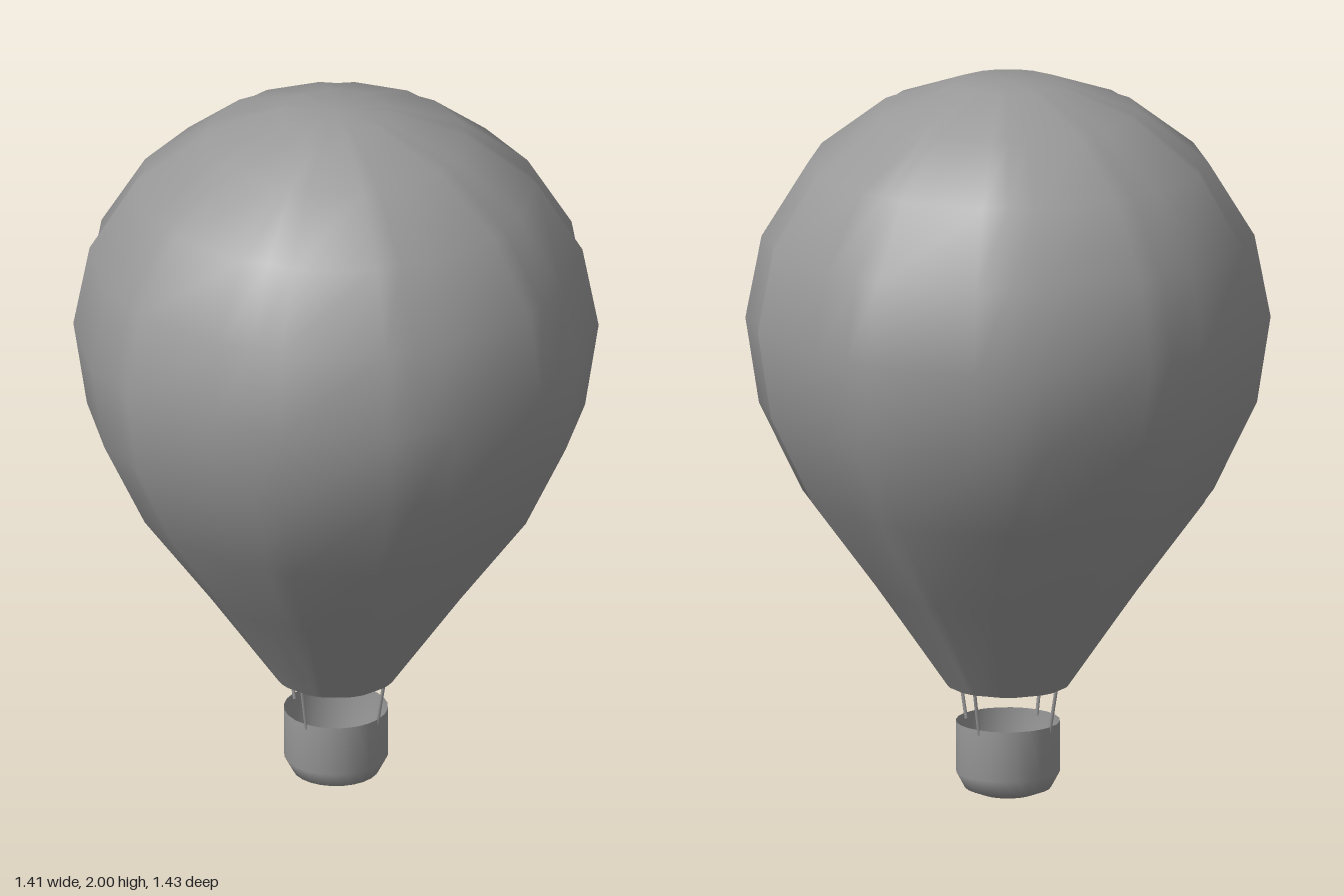
import * as THREE from 'three';

const GORES = 9;
const SEAM = THREE.MathUtils.degToRad(7.7); // half width of each seam valley

// Envelope rings from mouth to crown: [height, radius, seam depth]
const RINGS = [
  [0.308, 0.166, 0.000],
  [0.595, 0.367, 0.010],
  [0.857, 0.560, 0.018],
  [1.103, 0.678, 0.023],
  [1.342, 0.715, 0.025],
  [1.570, 0.671, 0.024],
  [1.772, 0.546, 0.018],
  [1.916, 0.358, 0.010],
  [1.993, 0.146, 0.002],
];

// Smooth skin of gores: each has a valley and two crests
function envelopeGeometry() {
  const pos = [], index = [], n = GORES * 3;
  for (const [y, r, depth] of RINGS) {
    for (let j = 0; j < n; j++) {
      const side = (j % 3) - 1;
      const a = Math.floor(j / 3) * Math.PI * 2 / GORES + side * SEAM;
      const rad = side === 0 ? r - depth : r;
      pos.push(Math.cos(a) * rad, y, Math.sin(a) * rad);
    }
  }
  for (let i = 0; i < RINGS.length - 1; i++) {
    for (let j = 0; j < n; j++) {
      const k = (j + 1) % n;
      const a = i * n + j, b = i * n + k;
      index.push(a, a + n, b, b, a + n, b + n);
    }
  }
  // Crown fan
  const pole = RINGS.length * n, last = pole - n;
  pos.push(0, 2, 0);
  for (let j = 0; j < n; j++) index.push(last + j, pole, last + (j + 1) % n);
  const g = new THREE.BufferGeometry();
  g.setAttribute('position', new THREE.Float32BufferAttribute(pos, 3));
  g.setIndex(index);
  g.computeVertexNormals();
  return g;
}

// Thin cylinder between two points
function rod(from, to, radius, material) {
  const dir = to.clone().sub(from);
  const mesh = new THREE.Mesh(new THREE.CylinderGeometry(radius, radius, dir.length(), 6), material);
  mesh.position.copy(from).add(to).multiplyScalar(0.5);
  mesh.quaternion.setFromUnitVectors(new THREE.Vector3(0, 1, 0), dir.normalize());
  return mesh;
}

export function createModel() {
  const grey = new THREE.MeshStandardMaterial({ color: 0x999999, side: THREE.DoubleSide });
  grey.name = 'plain grey';
  const model = new THREE.Group();
  model.name = 'hotAirBalloon';

  const envelope = new THREE.Mesh(envelopeGeometry(), grey);
  envelope.name = 'envelope';
  model.add(envelope);

  // Open basket with a rounded bottom
  const profile = [[0, 0], [0.075, 0.003], [0.118, 0.02], [0.142, 0.065], [0.142, 0.205]]
    .map(([x, y]) => new THREE.Vector2(x, y));
  const basket = new THREE.Mesh(new THREE.LatheGeometry(profile, 24), grey);
  basket.name = 'basket';
  model.add(basket);

  // Four ropes from the basket rim to the mouth
  for (let i = 0; i < 4; i++) {
    const a = Math.PI / 4 + i * Math.PI / 2;
    const at = (r, y) => new THREE.Vector3(Math.cos(a) * r, y, Math.sin(a) * r);
    const rope = rod(at(0.138, 0.19), at(0.161, 0.32), 0.005, grey);
    rope.name = 'rope';
    model.add(rope);
  }

  // The uneven gores put the axis slightly off centre
  for (const part of model.children) part.position.x -= 0.005;
  return model;
}
